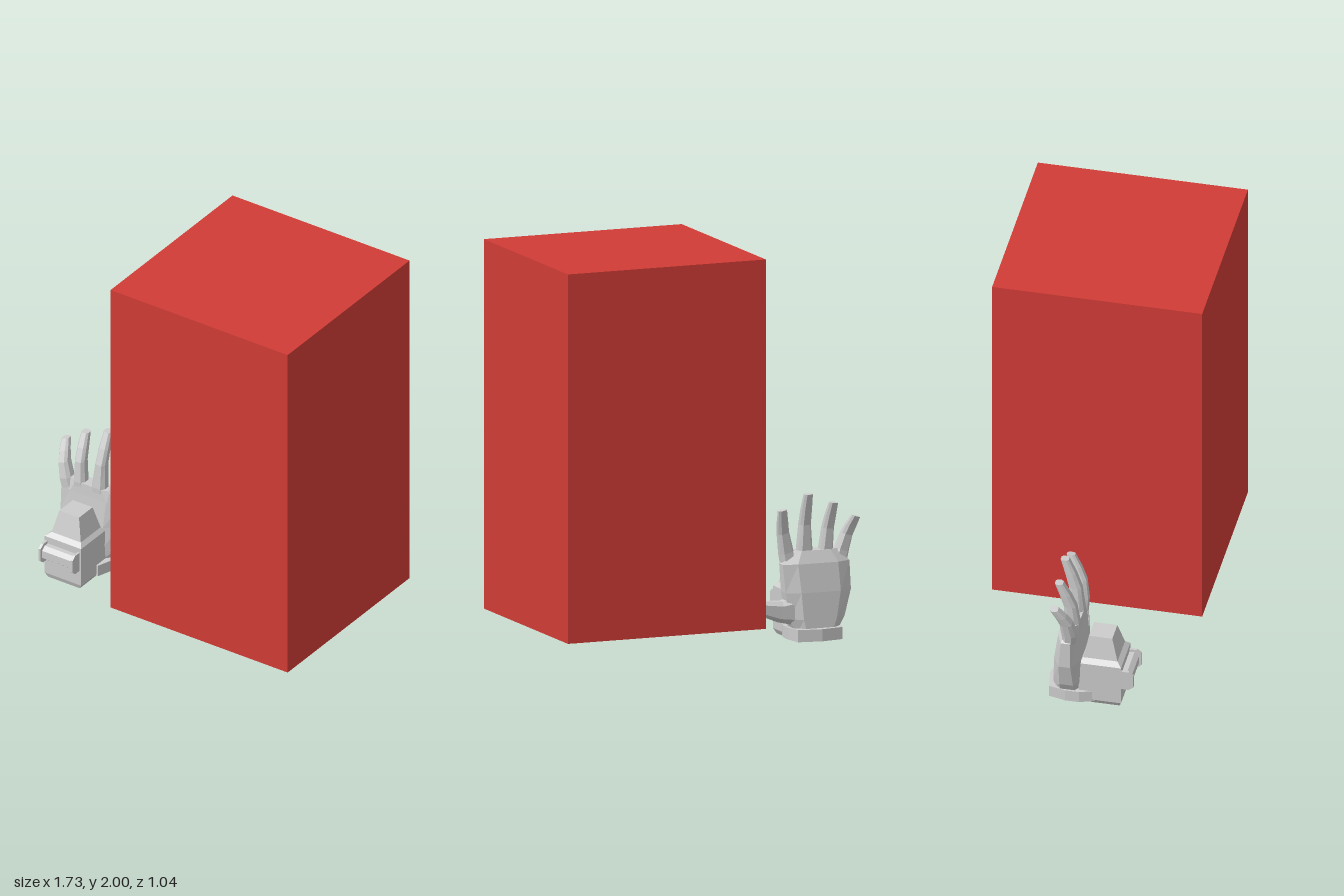
import * as THREE from 'three';

const grey = new THREE.MeshStandardMaterial({ color: 0xcccccc, flatShading: true });
grey.name = 'light grey';
const red = new THREE.MeshStandardMaterial({ color: 0xd23c36, flatShading: true });
red.name = 'red';

// Chamfered cross-section, as factors of half width and half depth
const round = [[1, -0.45], [1, 0.45], [0.6, 1], [-0.6, 1], [-1, 0.45], [-1, -0.45], [-0.6, -1], [0.6, -1]];
const square = [[1, -1], [1, 1], [-1, 1], [-1, -1]];

// Skin over sections [x, y, z, half width, half depth, tilt in degrees]
function loft(name, sections, profile = round) {
  const n = profile.length, pos = [], index = [];
  for (const [x, y, z, w, d, tilt = 0] of sections) {
    const a = THREE.MathUtils.degToRad(tilt);
    for (const [p, q] of profile) pos.push(x + Math.cos(a) * w * p, y + Math.sin(a) * w * p, z + d * q);
  }
  for (let s = 0; s < sections.length - 1; s++) {
    for (let i = 0; i < n; i++) {
      const a = s * n + i, b = s * n + (i + 1) % n;
      index.push(a, a + n, b, b, a + n, b + n);
    }
  }
  const last = (sections.length - 1) * n;
  for (let i = 1; i < n - 1; i++) {
    index.push(0, i, i + 1, last, last + i + 1, last + i);
  }
  const g = new THREE.BufferGeometry();
  g.setAttribute('position', new THREE.Float32BufferAttribute(pos, 3));
  g.setIndex(index);
  return mesh(name, g.toNonIndexed());
}

function mesh(name, geometry, material = grey) {
  geometry.computeVertexNormals();
  const m = new THREE.Mesh(geometry, material);
  m.name = name;
  return m;
}

function extrude(points, depth) {
  const shape = new THREE.Shape(points.map(([x, y]) => new THREE.Vector2(x, y)));
  return new THREE.ExtrudeGeometry(shape, { depth, bevelEnabled: false });
}

// Extrude a (z, y) outline along x
function sideways(name, points, x0, x1) {
  const g = extrude(points.map(([z, y]) => [-z, y]), x1 - x0);
  g.rotateY(Math.PI / 2).translate(x0, 0, 0);
  return mesh(name, g);
}

export function createModel() {
  const model = new THREE.Group();

  // Large block
  const block = mesh('block', new THREE.BoxGeometry(1.045, 1.825, 1.045), red);
  block.position.set(0.343, 1.0875, 0);
  model.add(block);

  const glove = new THREE.Group();
  glove.name = 'glove';
  model.add(glove);

  // Palm
  glove.add(loft('palm', [
    [-0.645, 0.04, -0.02, 0.105, 0.08],
    [-0.65, 0.12, -0.02, 0.145, 0.075],
    [-0.657, 0.25, -0.022, 0.172, 0.066],
    [-0.65, 0.39, -0.018, 0.176, 0.05],
    [-0.65, 0.45, -0.005, 0.125, 0.034],
  ]));

  // Fingers: base x, tip x, tip y, base half width
  const fingers = [
    ['littleFinger', -0.793, -0.847, 0.61, 0.037],
    ['ringFinger', -0.713, -0.73, 0.685, 0.036],
    ['middleFinger', -0.603, -0.597, 0.735, 0.041],
    ['indexFinger', -0.511, -0.46, 0.665, 0.038],
  ];
  for (const [name, bx, tx, ty, w] of fingers) {
    const tilt = -THREE.MathUtils.radToDeg(Math.atan2(tx - bx, ty - 0.42));
    const at = (t, z, hw, d) => [bx + (tx - bx) * t, 0.42 + (ty - 0.42) * t, z, hw, d, tilt];
    glove.add(loft(name, [
      at(-0.15, -0.005, w, 0.034),
      at(0.1, -0.003, w * 0.92, 0.034),
      at(0.5, -0.014, 0.028, 0.03),
      at(0.75, -0.038, 0.026, 0.026),
      at(1, -0.068, 0.021, 0.02),
    ]));
  }

  // Thumb
  glove.add(loft('thumb', [
    [-0.60, 0.16, -0.02, 0.085, 0.05, -75],
    [-0.46, 0.158, -0.022, 0.052, 0.045, -76],
    [-0.365, 0.18, -0.032, 0.036, 0.034, -65],
    [-0.29, 0.255, -0.04, 0.022, 0.02, -45],
  ]));

  // Wrist cuff, outlined in plan
  const cuff = extrude([
    [-0.645, 0.132], [-0.76, 0.112], [-0.78, 0.03], [-0.78, -0.04], [-0.755, -0.115],
    [-0.535, -0.115], [-0.51, -0.04], [-0.51, 0.03], [-0.525, 0.112],
  ], 0.06);
  cuff.rotateX(-Math.PI / 2).translate(0, 0.015, 0);
  glove.add(mesh('cuff', cuff));

  // Wrist device with a raised, tapering top
  glove.add(loft('device', [
    [-0.652, 0, 0.14, 0.093, 0.095],
    [-0.652, 0.025, 0.14, 0.108, 0.105],
    [-0.652, 0.235, 0.14, 0.108, 0.105],
    [-0.648, 0.255, 0.137, 0.086, 0.085],
    [-0.652, 0.37, 0.133, 0.058, 0.058],
  ], square));

  // Rounded bar on the front of the device, with end plates
  const bar = (h) => [[0.23, 0.16 - h], [0.27, 0.16 - h], [0.293, 0.178 - h], [0.293, 0.142 + h],
    [0.27, 0.16 + h], [0.23, 0.16 + h]];
  glove.add(sideways('frontBar', bar(0.038), -0.745, -0.56));
  const rim = bar(0.052).map(([z, y]) => [z + (z > 0.25 ? 0.012 : 0), y]);
  for (const x of [-0.755, -0.566]) glove.add(sideways('barEnd', rim, x, x + 0.013));

  return model;
}
